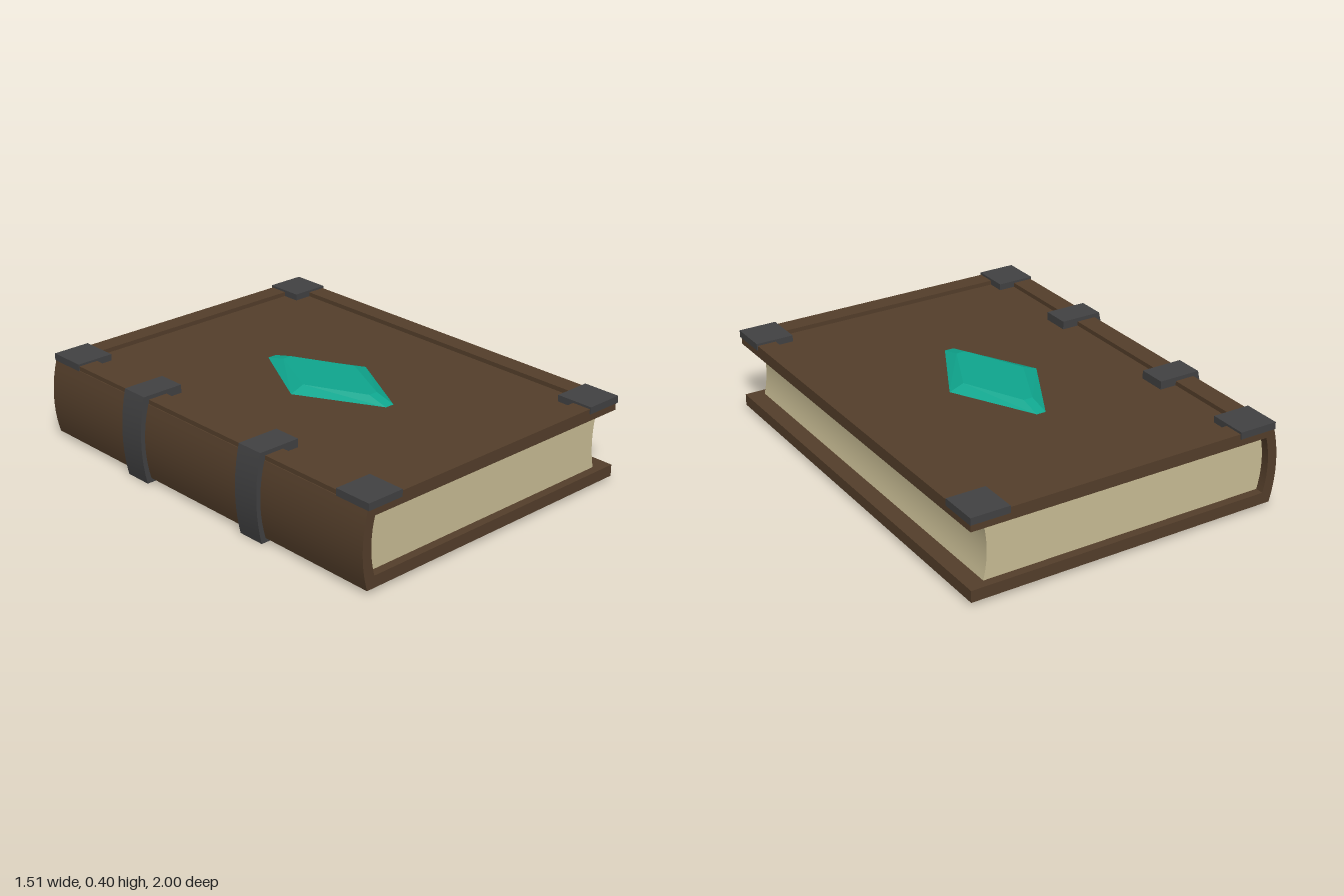
import * as THREE from 'three';
import { toCreasedNormals } from 'three/addons/utils/BufferGeometryUtils.js';

const mat = (name, color) => {
  const m = new THREE.MeshStandardMaterial({ color });
  m.name = name;
  return m;
};

export function createModel() {
  const book = new THREE.Group();
  book.name = 'book';
  const leather = mat('brown leather', 0x553f2b);
  const paper = mat('cream paper', 0xcbbf96);
  const iron = mat('dark iron', 0x424243);
  const jewel = mat('teal jewel', 0x0fa78f);

  const add = (name, geometry, material) => {
    const mesh = new THREE.Mesh(geometry, material);
    mesh.name = name;
    book.add(mesh);
    return mesh;
  };
  // Extrude an x-y profile along z, centred on zc, smooth along its curves
  const extrudeZ = (shape, depth, zc = 0) => {
    const g = new THREE.ExtrudeGeometry(shape, { depth, bevelEnabled: false, curveSegments: 10 });
    g.translate(0, 0, zc - depth / 2);
    return toCreasedNormals(g, 0.5);
  };
  // C-shaped profile wrapping the spine: outer and inner outlines with bowed left sides
  const wrapProfile = (o, i, right) => {
    const s = new THREE.Shape();
    s.moveTo(right, o.top);
    s.lineTo(o.x, o.top);
    s.quadraticCurveTo(2 * o.mid - o.x, (o.top + o.bottom) / 2, o.x, o.bottom);
    s.lineTo(right, o.bottom);
    s.lineTo(right, i.bottom);
    s.lineTo(i.x, i.bottom);
    s.quadraticCurveTo(2 * i.mid - i.x, (i.top + i.bottom) / 2, i.x, i.top);
    s.lineTo(right, i.top);
    s.closePath();
    return s;
  };

  // Cover boards and rounded spine in one piece
  add('cover', extrudeZ(wrapProfile(
    { x: -0.708, mid: -0.733, top: 0.365, bottom: 0.02 },
    { x: -0.67, mid: -0.688, top: 0.33, bottom: 0.073 }, 0.748), 1.988), leather);

  // Raised rim around the sunken front panel
  const rect = (path, x0, x1, z) => {
    path.moveTo(x0, -z);
    path.lineTo(x1, -z);
    path.lineTo(x1, z);
    path.lineTo(x0, z);
    path.closePath();
    return path;
  };
  const rim = rect(new THREE.Shape(), -0.704, 0.748, 0.994);
  rim.holes.push(rect(new THREE.Path(), -0.61, 0.66, 0.905));
  const rimGeo = new THREE.ExtrudeGeometry(rim, { depth: 0.02, bevelEnabled: false });
  rimGeo.rotateX(-Math.PI / 2).translate(0, 0.365, 0);
  add('coverRim', rimGeo, leather);

  // Page block: rounded at the spine, hollow at the fore edge
  const pages = new THREE.Shape();
  pages.moveTo(-0.67, 0.073);
  pages.lineTo(0.67, 0.073);
  pages.quadraticCurveTo(0.638, 0.2015, 0.67, 0.33);
  pages.lineTo(-0.67, 0.33);
  pages.quadraticCurveTo(-0.706, 0.2015, -0.67, 0.073);
  add('pages', extrudeZ(pages, 1.91), paper);

  // Two iron bands around the spine
  const band = wrapProfile(
    { x: -0.729, mid: -0.754, top: 0.403, bottom: 0 },
    { x: -0.7, mid: -0.726, top: 0.363, bottom: 0.028 }, -0.53);
  for (const z of [0.346, -0.395]) add('spineBand', extrudeZ(band, 0.13, z), iron);

  // Four iron corner plates on the front cover
  for (const x of [-0.62, 0.664])
    for (const z of [-0.911, 0.911])
      add('cornerPlate', new THREE.BoxGeometry(0.178, 0.032, 0.178), iron).position.set(x, 0.379, z);

  // Bevelled diamond jewel: outer ring at the panel, inner ring on top
  const ring = (w, l, y) => [[w, 0], [0.022, l], [-0.022, l], [-w, 0], [-0.022, -l], [0.022, -l]]
    .map(([x, z]) => [x + 0.023, y, z]);
  const lower = ring(0.222, 0.375, 0.3645);
  const upper = ring(0.152, 0.272, 0.39);
  const pos = [];
  for (let k = 0; k < 6; k++) {
    const n = (k + 1) % 6;
    pos.push(...lower[k], ...upper[k], ...upper[n], ...lower[k], ...upper[n], ...lower[n]);
    pos.push(0.023, 0.39, 0, ...upper[n], ...upper[k]);
  }
  const gem = new THREE.BufferGeometry();
  gem.setAttribute('position', new THREE.Float32BufferAttribute(pos, 3));
  gem.computeVertexNormals();
  add('jewel', gem, jewel);

  return book;
}
